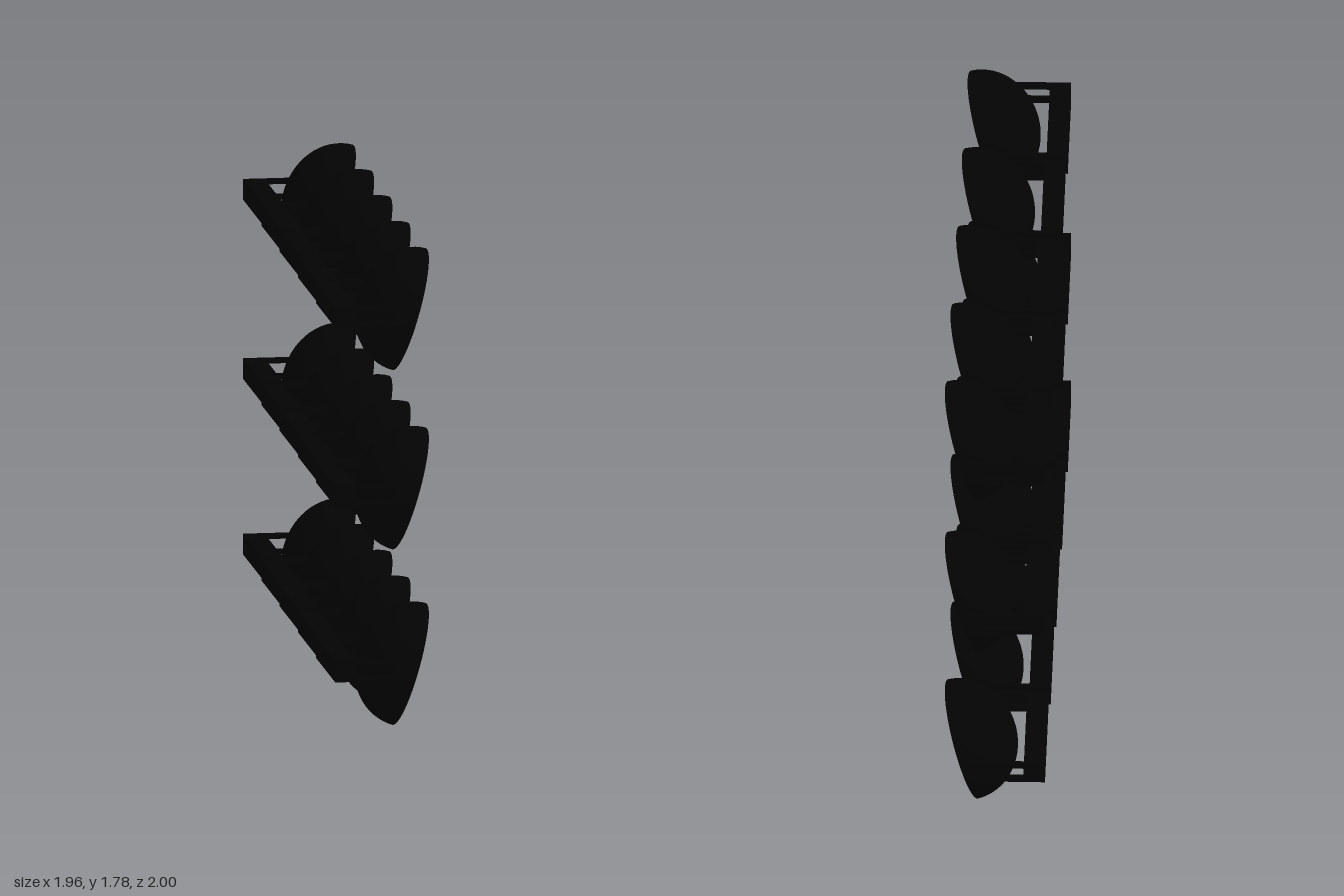
import * as THREE from 'three';

const ROWS = [0.245, 0.903, 1.575]; // pivot height of each row
const PER_ROW = 5;
const BAR = { length: 0.48, height: 0.078, depth: 0.078 };
const ARM = { length: 0.288, thickness: 0.021 };
const DISH = { halfWidth: 0.21, halfHeight: 0.233, depth: 0.2, tilt: 0.29 };

const black = new THREE.MeshStandardMaterial({ color: 0x030303 });

function mesh(name, geometry) {
  const m = new THREE.Mesh(geometry, black);
  m.name = name;
  return m;
}

// Flat bracket arm with a long slot, reaching towards -z
function armGeometry() {
  const h = BAR.height / 2;
  const shape = new THREE.Shape();
  shape.moveTo(0, -h).lineTo(ARM.length, -h).lineTo(ARM.length, h).lineTo(0, h).closePath();
  const slot = new THREE.Path();
  slot.moveTo(0.08, -0.02).lineTo(0.08, 0.02).lineTo(0.22, 0.02).lineTo(0.22, -0.02).closePath();
  shape.holes.push(slot);
  return new THREE.ExtrudeGeometry(shape, { depth: ARM.thickness, bevelEnabled: false })
    .translate(0, 0, -ARM.thickness / 2)
    .rotateY(Math.PI / 2);
}

// Oval lathe (profile radius 0..1) whose axis points forward (-z) and tips downward
function dishLathe(points) {
  return new THREE.LatheGeometry(points.map(([r, y]) => new THREE.Vector2(r, y)), 48)
    .scale(DISH.halfWidth, 1, DISH.halfHeight)
    .rotateX(-Math.PI / 2 - DISH.tilt)
    .translate(0.01, -0.022, -0.309);
}

const shellProfile = [];
for (let i = 0; i <= 16; i++) {
  const a = (i / 16) * Math.PI / 2;
  shellProfile.push([Math.sin(a), -DISH.depth * Math.cos(a)]);
}
const LENS = { radius: 0.95, y: -0.008 };
const lampParts = {
  lampShell: dishLathe(shellProfile),
  lampRim: dishLathe([[1, 0], [LENS.radius, 0]]),
  lampLip: dishLathe([[LENS.radius, 0], [LENS.radius, LENS.y]]),
  lampLens: dishLathe([[LENS.radius, LENS.y], [0, LENS.y]]),
};
const barGeo = new THREE.BoxGeometry(BAR.length, BAR.height, BAR.depth).translate(0, 0, -BAR.depth / 2);
const armGeo = armGeometry();

// One floodlight: U-shaped bracket and tilted lamp
function createLight() {
  const light = new THREE.Group();
  light.name = 'floodlight';
  light.add(mesh('bracketBar', barGeo));
  for (const side of [-1, 1]) {
    const arm = mesh('bracketArm', armGeo);
    arm.position.x = side * (BAR.length - ARM.thickness) / 2;
    light.add(arm);
  }
  for (const [name, geometry] of Object.entries(lampParts)) light.add(mesh(name, geometry));
  return light;
}

export function createModel() {
  const model = new THREE.Group();
  model.name = 'floodlightArray';
  ROWS.forEach((y) => {
    const row = new THREE.Group();
    row.name = 'lightRow';
    row.position.y = y;
    for (let i = 0; i < PER_ROW; i++) {
      const light = createLight();
      light.position.set(-0.81 + 0.3525 * i, 0, -0.628 + 0.363 * i);
      light.rotation.y = -Math.PI / 4;
      row.add(light);
    }
    model.add(row);
  });
  return model;
}
